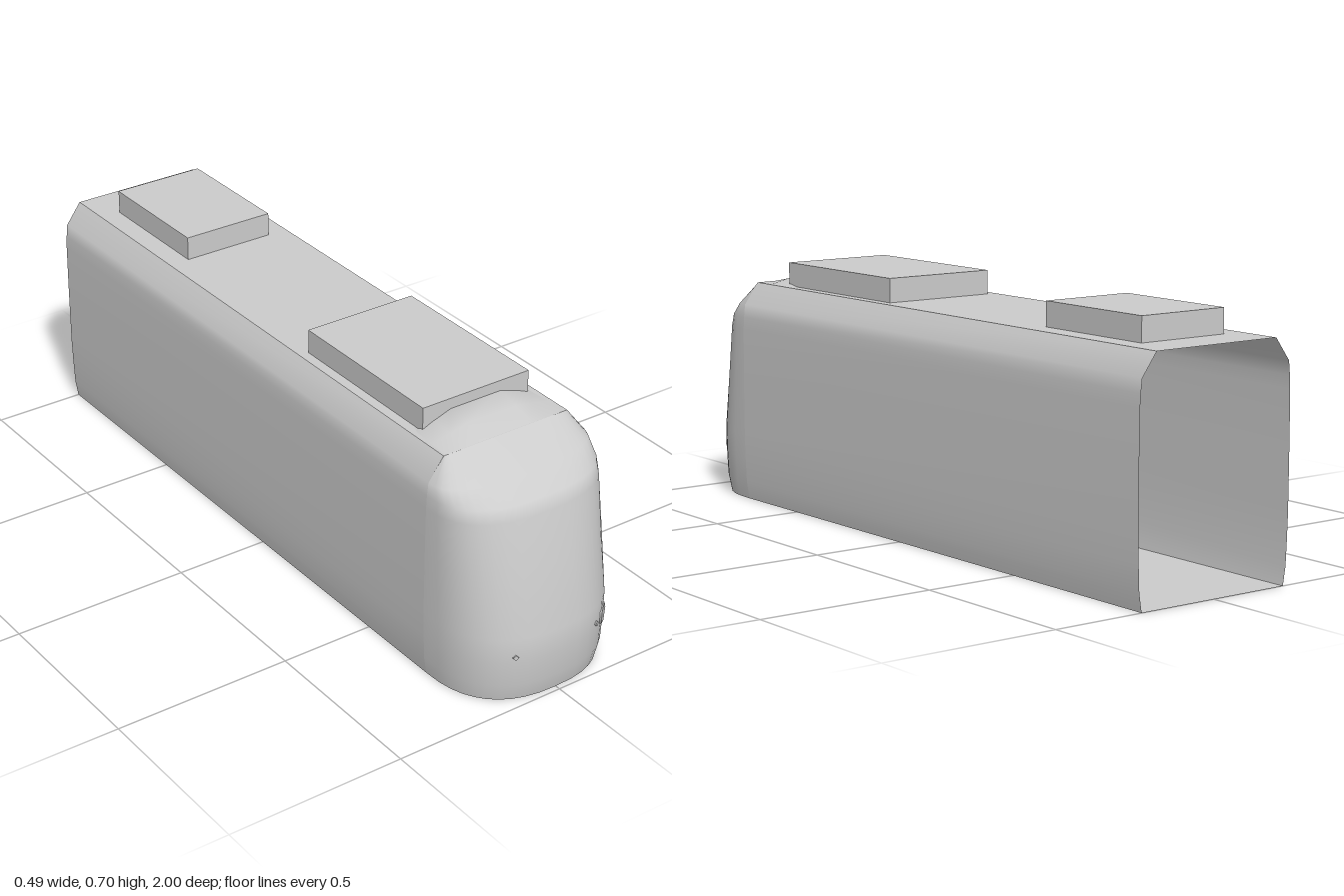
import * as THREE from 'three';

const grey = new THREE.MeshStandardMaterial({ color: 0xcccccc, side: THREE.DoubleSide });
grey.name = 'light grey';

// Hull sections from floor to roof edge: height, half width, front z
const SECTIONS = [
  [0, 0.234, 0.985], [0.05, 0.242, 0.997], [0.12, 0.245, 1.0], [0.19, 0.247, 1.0],
  [0.36, 0.247, 0.963], [0.5, 0.246, 0.932], [0.535, 0.244, 0.917],
  [0.572, 0.24, 0.858], [0.633, 0.195, 0.75],
];
const SEAM = 0.75, BACK = -1, ROOF = 0.633, ROOF_HALF = 0.195;

// Surface through rows of [x, y, z] points
function loft(rows) {
  const n = rows[0].length, index = [];
  for (let r = 0; r < rows.length - 1; r++) {
    for (let i = 0; i < n - 1; i++) {
      const a = r * n + i;
      index.push(a, a + n, a + 1, a + 1, a + n, a + n + 1);
    }
  }
  const g = new THREE.BufferGeometry();
  g.setAttribute('position', new THREE.Float32BufferAttribute(rows.flat(2), 3));
  g.setIndex(index);
  g.computeVertexNormals();
  return g;
}

// Rounded plan outline of the nose at one section, from +x to -x
function noseOutline([y, w, front], steps = 20) {
  const points = [];
  for (let i = 0; i <= steps; i++) {
    const t = (Math.PI * i) / steps;
    const c = Math.cos(t), s = Math.max(0, Math.sin(t));
    const z = i === steps ? SEAM : SEAM + (front - SEAM) * s ** 0.8;
    points.push([w * Math.sign(c) * Math.abs(c) ** 0.8, y, z]);
  }
  return points;
}

export function createModel() {
  const model = new THREE.Group();
  const add = (name, geometry) => {
    const mesh = new THREE.Mesh(geometry, grey);
    mesh.name = name;
    model.add(mesh);
    return mesh;
  };

  // Shell: rounded nose, two side walls, flat roof, open rear
  add('nose', loft(SECTIONS.map((s) => noseOutline(s))));
  add('leftWall', loft(SECTIONS.map(([y, w]) => [[w, y, BACK], [w, y, SEAM]])));
  add('rightWall', loft(SECTIONS.map(([y, w]) => [[-w, y, SEAM], [-w, y, BACK]])));
  add('roof', loft([SEAM, BACK].map((z) => [[ROOF_HALF, ROOF, z], [-ROOF_HALF, ROOF, z]])));

  // Floor follows the lowest outline
  const w = SECTIONS[0][1];
  const outline = [[w, 0, BACK], ...noseOutline(SECTIONS[0]), [-w, 0, BACK]];
  const floorShape = new THREE.Shape(outline.map(([x, , z]) => new THREE.Vector2(x, z)));
  add('floor', new THREE.ShapeGeometry(floorShape).rotateX(Math.PI / 2));

  // Sloped fairing ahead of the front roof unit: z, base half width, crest height
  const fairing = [[0.75, 0.19, 0.634], [0.69, 0.185, 0.656], [0.62, 0.18, 0.672], [0.57, 0.16, 0.634]];
  add('roofFairing', loft(fairing.map(([z, base, top]) => {
    const mid = ROOF + (top - ROOF) * 0.55;
    return [[base, ROOF, z], [0.13, mid, z], [0.078, top, z],
      [-0.078, top, z], [-0.13, mid, z], [-base, ROOF, z]];
  })));

  // Roof equipment boxes: name, half width, rear z, front z
  for (const [name, half, z0, z1] of [
    ['frontRoofUnit', 0.167, 0.13, 0.627],
    ['rearRoofUnit', 0.135, -0.875, -0.505],
  ]) {
    add(name, new THREE.BoxGeometry(half * 2, 0.067, z1 - z0))
      .position.set(0, ROOF + 0.0335, (z0 + z1) / 2);
  }

  // Small lamps lying on the nose: name, sides, radius, x, z, turn
  for (const [name, sides, radius, x, z, turn] of [
    ['headlamp', 5, 0.03, 0.173, 0.95, 0.7],
    ['leftMarker', 4, 0.008, 0.13, 0.978, 0.42],
    ['rightMarker', 4, 0.008, -0.13, 0.978, -0.42],
  ]) {
    const g = new THREE.CylinderGeometry(radius, radius, 0.008, sides);
    const lamp = add(name, g.rotateX(Math.PI / 2).rotateZ(Math.PI / 2));
    lamp.position.set(x, 0.137, z);
    lamp.rotation.y = turn;
  }

  return model;
}
